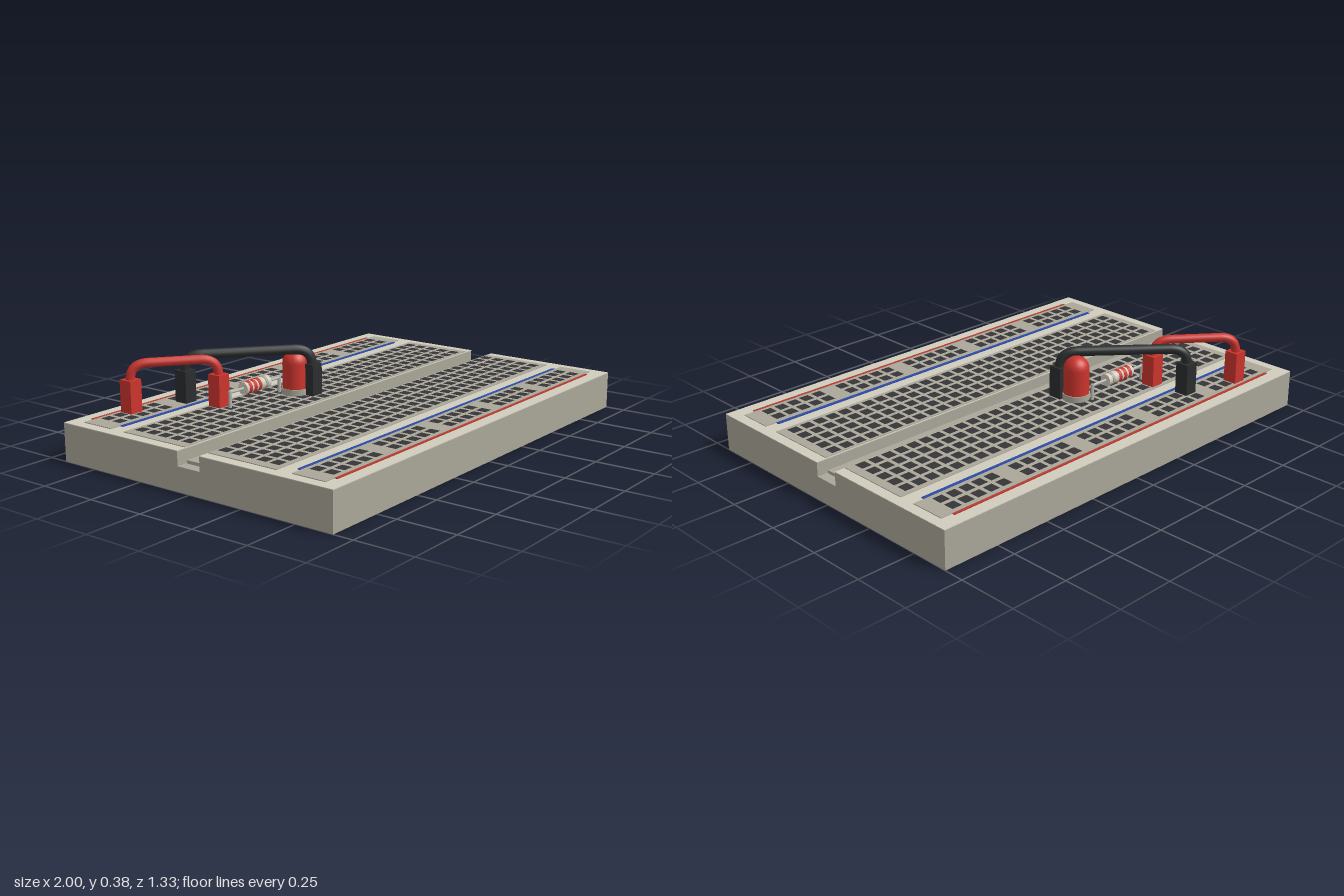
import * as THREE from 'three';
import { mergeGeometries } from 'three/addons/utils/BufferGeometryUtils.js';

const mat = (name, color) => new THREE.MeshStandardMaterial({ name, color });

export function createModel() {
  const M = {
    body: mat('warm grey', 0xaaa799),
    face: mat('light beige', 0xd0cdbe),
    hole: mat('hole black', 0x353537),
    red: mat('red', 0xcc342d),
    lineRed: mat('line red', 0xb83a30),
    blue: mat('line blue', 0x2a4aa4),
    black: mat('wire black', 0x2b2d2e),
    metal: mat('lead grey', 0xb4b4b0),
  };
  const root = new THREE.Group();
  root.name = 'breadboard';

  const add = (name, geo, material, x = 0, y = 0, z = 0, parent = root) => {
    const m = new THREE.Mesh(geo, material);
    m.name = name;
    m.position.set(x, y, z);
    parent.add(m);
    return m;
  };
  const box = (name, material, x0, x1, y0, y1, z0, z1, parent = root) =>
    add(name, new THREE.BoxGeometry(x1 - x0, y1 - y0, z1 - z0), material,
      (x0 + x1) / 2, (y0 + y1) / 2, (z0 + z1) / 2, parent);

  const PITCH = 0.0617, TOP = 0.16;
  const colX = (i) => (i - 14.5) * PITCH;
  const railX = (i) => (i - 14) * PITCH;

  // Body with the centre channel cut along x
  const profile = new THREE.Shape([
    [-0.665, 0], [0.665, 0], [0.665, 0.157], [0.055, 0.157],
    [0.055, 0.1], [-0.055, 0.1], [-0.055, 0.157], [-0.665, 0.157],
  ].map(([a, b]) => new THREE.Vector2(a, b)));
  const bodyGeo = new THREE.ExtrudeGeometry(profile, { depth: 2, bevelEnabled: false });
  bodyGeo.translate(0, 0, -1).rotateY(Math.PI / 2);
  add('body', bodyGeo, M.body);
  box('channelStrip', M.body, -0.955, 0.955, 0.1, 0.113, -0.05, 0.05);

  // Top plates, hole panels, rail lines and holes on both halves
  const holes = [];
  const hole = (x, z) => holes.push(
    new THREE.PlaneGeometry(0.045, 0.045).rotateX(-Math.PI / 2).translate(x, 0.1645, z));
  for (const s of [-1, 1]) {
    const strip = (name, m, hx, y0, y1, a, b) =>
      box(name, m, -hx, hx, y0, y1, Math.min(s * a, s * b), Math.max(s * a, s * b));
    strip('topPlate', M.face, 1, 0.157, TOP, 0.055, 0.665);
    strip('terminalPanel', M.body, 0.955, TOP, 0.163, 0.06, 0.38);
    strip('railPanel', M.body, 0.955, TOP, 0.163, 0.45, 0.598);
    strip('redLine', M.lineRed, 0.905, TOP, 0.1635, 0.6, 0.611);
    strip('blueLine', M.blue, 0.905, TOP, 0.1635, 0.434, 0.449);
    for (let c = 0; c < 30; c++)
      for (let r = 0; r < 5; r++) hole(colX(c), s * (0.0915 + r * PITCH));
    for (let c = 0; c < 29; c++) {
      if (c % 6 === 5) continue;
      hole(railX(c), s * 0.494);
      hole(railX(c), s * 0.557);
    }
  }
  add('holes', mergeGeometries(holes), M.hole);

  // Jumper wires: two square housings joined by an arched tube
  const jumper = (name, material, x0, z0, x1, z1, r) => {
    const g = new THREE.Group();
    g.name = name;
    root.add(g);
    const a = new THREE.Vector3(x0, 0, z0), b = new THREE.Vector3(x1, 0, z1);
    const dir = b.clone().sub(a).normalize();
    const at = (p, y, d = 0) => p.clone().addScaledVector(dir, d).setY(y);
    const high = 0.38 - r, bend = 0.075;
    const path = new THREE.CurvePath();
    path.add(new THREE.LineCurve3(at(a, 0.26), at(a, 0.295)));
    path.add(new THREE.QuadraticBezierCurve3(at(a, 0.295), at(a, high), at(a, high, bend)));
    path.add(new THREE.LineCurve3(at(a, high, bend), at(b, high, -bend)));
    path.add(new THREE.QuadraticBezierCurve3(at(b, high, -bend), at(b, high), at(b, 0.295)));
    path.add(new THREE.LineCurve3(at(b, 0.295), at(b, 0.26)));
    add('wire', new THREE.TubeGeometry(path, 64, r, 12), material, 0, 0, 0, g);
    for (const p of [a, b])
      box('housing', material, p.x - 0.03, p.x + 0.03, TOP, 0.297, p.z - 0.03, p.z + 0.03, g);
  };
  jumper('redJumper', M.red, railX(2), -0.557, colX(7), -0.338, 0.019);
  jumper('blackJumper', M.black, railX(6), -0.494, colX(13), -0.153, 0.021);

  // Lamp: domed lens on a grey flange
  const lamp = new THREE.Group();
  lamp.name = 'lamp';
  lamp.position.set(-0.123, 0, -0.217);
  root.add(lamp);
  const R = 0.054;
  const dome = [new THREE.Vector2(R, 0.185)];
  for (let i = 0; i <= 8; i++) {
    const t = (i / 8) * Math.PI / 2;
    dome.push(new THREE.Vector2(R * Math.cos(t), 0.295 + R * Math.sin(t)));
  }
  add('lens', new THREE.LatheGeometry(dome, 24), M.red, 0, 0, 0, lamp);
  add('flange', new THREE.CylinderGeometry(0.058, 0.058, 0.03, 24), M.body, 0, 0.175, 0, lamp);

  // Resistor: beige body, colour bands and bent leads
  const resistor = new THREE.Group();
  resistor.name = 'resistor';
  resistor.position.set(-0.309, 0.228, -0.278);
  root.add(resistor);
  const rod = (name, m, r, len, x) =>
    add(name, new THREE.CylinderGeometry(r, r, len, 16).rotateZ(Math.PI / 2), m, x, 0, 0, resistor);
  rod('resistorBody', M.face, 0.026, 0.15, 0);
  for (const x of [-0.052, -0.023, 0.006]) rod('redBand', M.red, 0.0275, 0.017, x);
  rod('greyBand', M.body, 0.0275, 0.014, 0.048);
  rod('lead', M.metal, 0.006, 0.31, 0);
  for (const s of [-1, 1])
    add('leadLeg', new THREE.CylinderGeometry(0.007, 0.007, 0.074, 8), M.metal,
      s * 0.154, -0.031, 0, resistor);

  return root;
}
